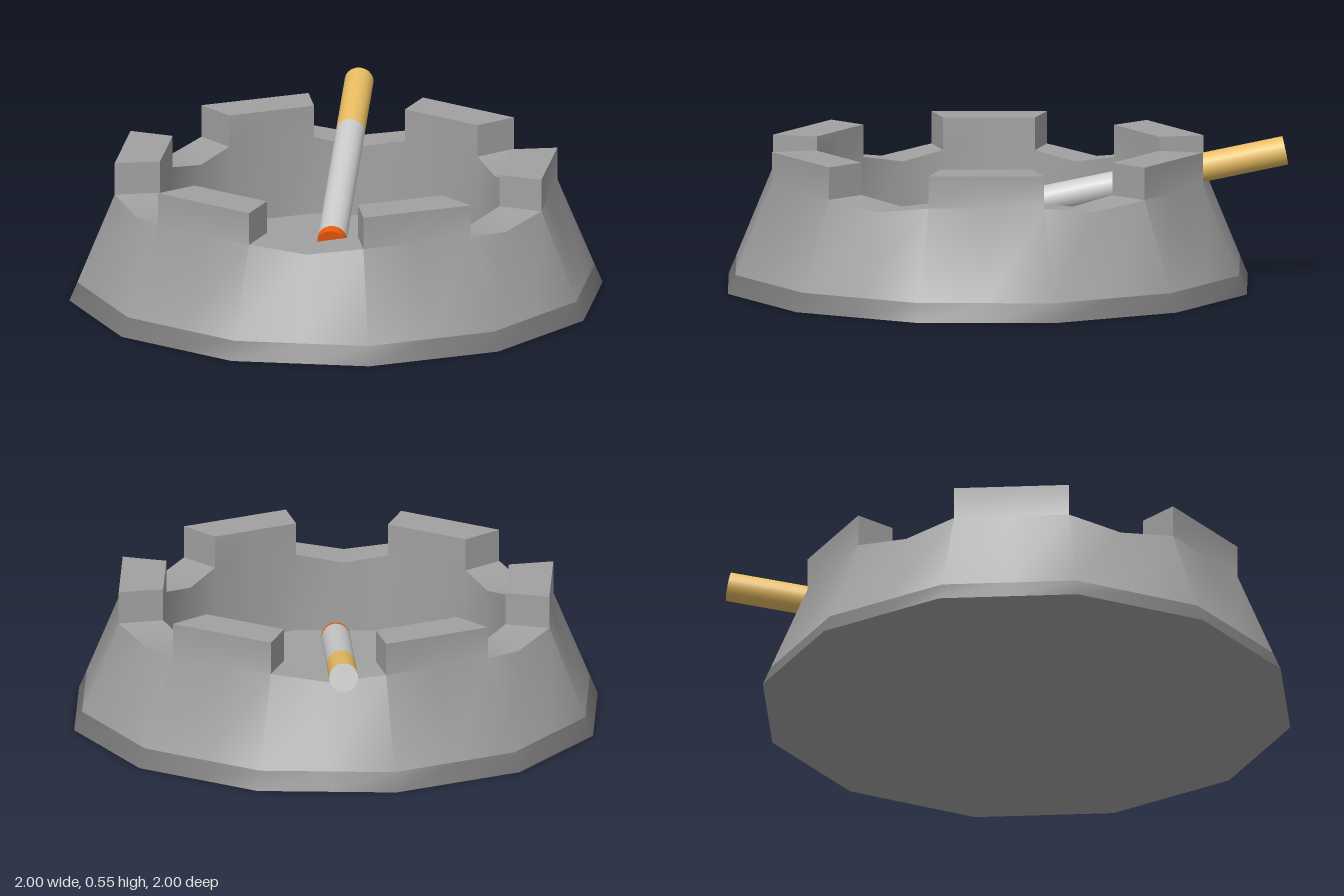
import * as THREE from 'three';
import { toCreasedNormals } from 'three/addons/utils/BufferGeometryUtils.js';

const PALE = 0xcccccc, STONE = 0xa1a1a1, DARK = 0x787878;
const BASE_R = 1, BAND_R = 0.97, BAND_Y = 0.07;
const OUTER_R = 0.83, INNER_R = 0.66;
const LEDGE_Y = 0.405, DIP_Y = 0.375, TOP_Y = 0.527, FLOOR_Y = 0.11;
const STEPS = 24; // half sides of a twelve-sided ring

function makeMesh(name, geometry, color) {
  const mesh = new THREE.Mesh(geometry, new THREE.MeshStandardMaterial({ color }));
  mesh.name = name;
  return mesh;
}

// Point on the twelve-sided ring; odd steps lie in the middle of a side
function ringPoint(step, radius, y) {
  const a = (step * Math.PI) / 12;
  const r = step % 2 ? radius * Math.cos(Math.PI / 12) : radius;
  return [r * Math.sin(a), y, r * Math.cos(a)];
}

// Collects triangles and four-cornered faces into one geometry
function faceBuilder() {
  const pos = [];
  const tri = (a, b, c) => pos.push(...a, ...b, ...c);
  const quad = (a, b, c, d) => { tri(a, b, c); tri(a, c, d); };
  const build = () => {
    const g = new THREE.BufferGeometry();
    g.setAttribute('position', new THREE.Float32BufferAttribute(pos, 3));
    return toCreasedNormals(g, THREE.MathUtils.degToRad(35));
  };
  return { tri, quad, build };
}

function createBowl() {
  const group = new THREE.Group();
  group.name = 'bowl';
  const body = faceBuilder(), band = faceBuilder();
  const P = ringPoint;

  for (let a = 0; a < STEPS; a++) {
    const b = a + 1;
    const raised = Math.floor(a / 2) % 2 === 1;
    const ledge = (k) => (k % 2 && !raised ? DIP_Y : LEDGE_Y);
    const ya = ledge(a), yb = ledge(b);

    // Underside, lower band, sloping wall
    body.tri([0, 0, 0], P(b, BASE_R, 0), P(a, BASE_R, 0));
    band.quad(P(a, BASE_R, 0), P(b, BASE_R, 0), P(b, BAND_R, BAND_Y), P(a, BAND_R, BAND_Y));
    body.quad(P(a, BAND_R, BAND_Y), P(b, BAND_R, BAND_Y), P(b, OUTER_R, yb), P(a, OUTER_R, ya));
    // Inner wall and floor
    body.quad(P(b, INNER_R, FLOOR_Y), P(a, INNER_R, FLOOR_Y), P(a, INNER_R, ya), P(b, INNER_R, yb));
    body.tri([0, FLOOR_Y, 0], P(a, INNER_R, FLOOR_Y), P(b, INNER_R, FLOOR_Y));

    if (!raised) {
      // Shallow V-shaped rest between the raised blocks
      body.quad(P(a, OUTER_R, ya), P(b, OUTER_R, yb), P(b, INNER_R, yb), P(a, INNER_R, ya));
      continue;
    }
    // Raised block: outside, inside, top and the two end faces
    body.quad(P(a, OUTER_R, ya), P(b, OUTER_R, yb), P(b, OUTER_R, TOP_Y), P(a, OUTER_R, TOP_Y));
    body.quad(P(b, INNER_R, yb), P(a, INNER_R, ya), P(a, INNER_R, TOP_Y), P(b, INNER_R, TOP_Y));
    body.quad(P(a, OUTER_R, TOP_Y), P(b, OUTER_R, TOP_Y), P(b, INNER_R, TOP_Y), P(a, INNER_R, TOP_Y));
    if (a % 2 === 0) {
      body.quad(P(a, INNER_R, LEDGE_Y), P(a, OUTER_R, LEDGE_Y), P(a, OUTER_R, TOP_Y), P(a, INNER_R, TOP_Y));
    } else {
      body.quad(P(b, OUTER_R, LEDGE_Y), P(b, INNER_R, LEDGE_Y), P(b, INNER_R, TOP_Y), P(b, OUTER_R, TOP_Y));
    }
  }
  group.add(makeMesh('bowlBody', body.build(), STONE), makeMesh('baseBand', band.build(), DARK));
  return group;
}

function createCigarette() {
  const group = new THREE.Group();
  group.name = 'cigarette';
  const tip = new THREE.Vector3(-0.12, 0.235, 0.13);
  const end = new THREE.Vector3(0.735, 0.493, -0.83);
  const axis = end.clone().sub(tip);
  const length = axis.length(), radius = 0.054;

  // Straight piece between two fractions of the length
  const piece = (name, from, to, color, open) => {
    const g = new THREE.CylinderGeometry(radius, radius, (to - from) * length, 20, 1, open);
    g.translate(0, ((from + to) / 2) * length, 0);
    group.add(makeMesh(name, g, color));
  };
  piece('ember', 0, 0.032, 0xec5a0a, false);
  piece('paper', 0.032, 0.685, PALE, true);
  piece('filter', 0.685, 1, 0xe8bc62, true);

  const cap = new THREE.CircleGeometry(radius, 20);
  cap.rotateX(-Math.PI / 2).translate(0, length, 0);
  group.add(makeMesh('filterEnd', cap, PALE));

  group.position.copy(tip);
  group.quaternion.setFromUnitVectors(new THREE.Vector3(0, 1, 0), axis.normalize());
  return group;
}

export function createModel() {
  const model = new THREE.Group();
  model.name = 'ashtray';
  model.add(createBowl(), createCigarette());
  return model;
}
